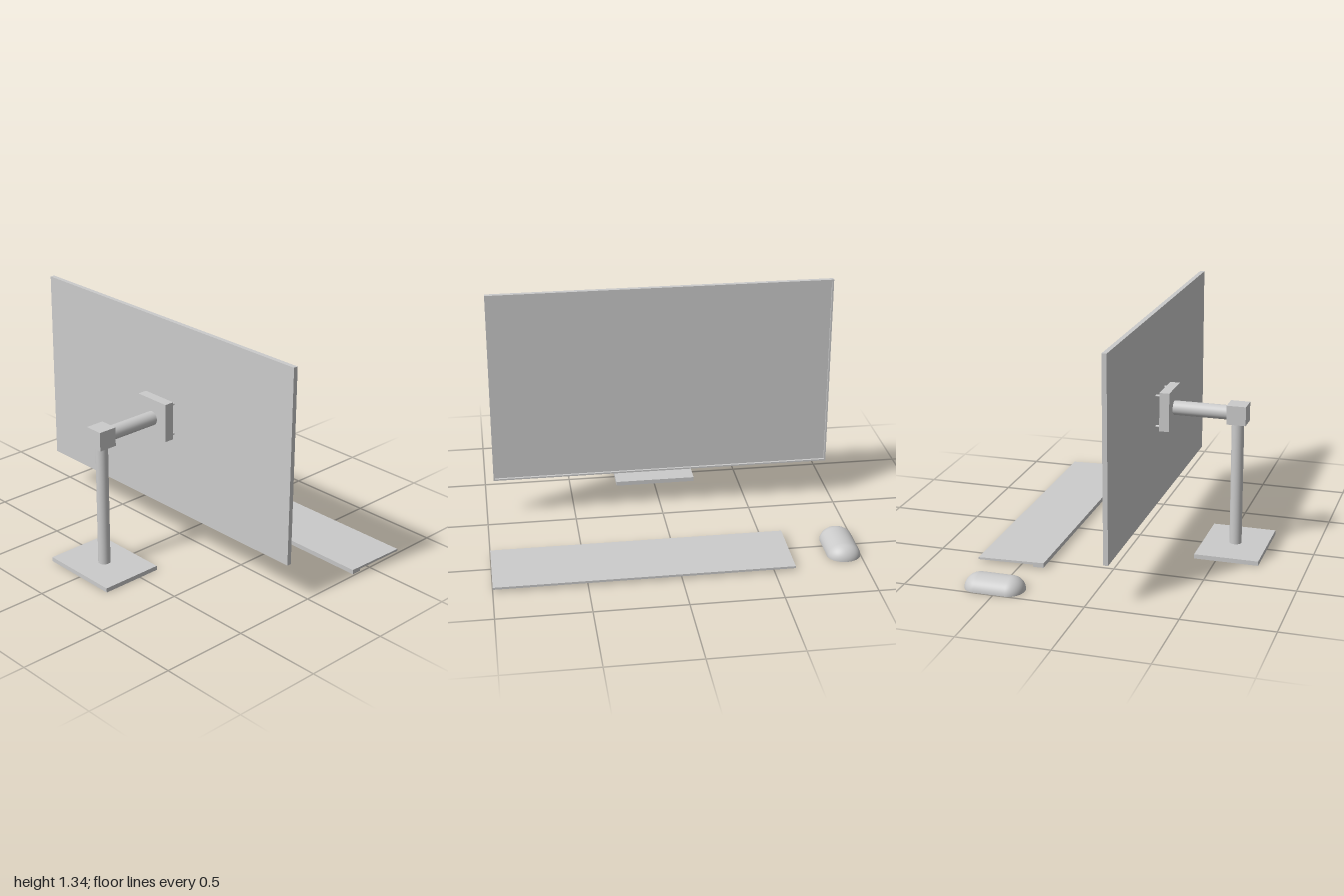
import * as THREE from 'three';

const material = new THREE.MeshStandardMaterial({ color: 0xcccccc });
const thin = new THREE.MeshStandardMaterial({ color: 0xcccccc, side: THREE.DoubleSide });
const MID_Z = -0.006; // centre plane of the display and its stand

function add(parent, name, geometry, x = 0, y = 0, z = 0, mat = material) {
  const mesh = new THREE.Mesh(geometry, mat);
  mesh.name = name;
  mesh.position.set(x, y, z);
  parent.add(mesh);
  return mesh;
}

// Box given by its limits in x and y, and its depth in z
function block(parent, name, x0, x1, y0, y1, depth) {
  return add(parent, name, new THREE.BoxGeometry(x1 - x0, y1 - y0, depth), (x0 + x1) / 2, (y0 + y1) / 2, MID_Z);
}

// Horizontal cylinder along x
function rod(parent, name, r, x0, x1, y, z, sides) {
  const geometry = new THREE.CylinderGeometry(r, r, x1 - x0, sides).rotateZ(Math.PI / 2);
  return add(parent, name, geometry, (x0 + x1) / 2, y, z);
}

function rectangle(PathType, halfW, halfH) {
  return new PathType([
    [-halfW, -halfH], [halfW, -halfH], [halfW, halfH], [-halfW, halfH],
  ].map(([x, y]) => new THREE.Vector2(x, y)));
}

function createStand() {
  const stand = new THREE.Group();
  stand.name = 'stand';
  block(stand, 'base', -0.738, -0.379, 0, 0.025, 0.465);
  add(stand, 'post', new THREE.CylinderGeometry(0.034, 0.034, 0.71, 32), -0.558, 0.38, MID_Z);
  block(stand, 'elbow', -0.612, -0.505, 0.729, 0.836, 0.107);
  rod(stand, 'arm', 0.04, -0.51, -0.195, 0.782, MID_Z, 32);
  block(stand, 'mountPlate', -0.199, -0.143, 0.674, 0.893, 0.22);
  // Four pins joining the plate to the display
  for (const dy of [-0.0875, 0.0875])
    for (const dz of [-0.0875, 0.0875])
      rod(stand, 'mountPin', 0.007, -0.145, -0.116, 0.782 + dy, MID_Z + dz, 16);
  return stand;
}

function createDisplay() {
  const display = new THREE.Group();
  display.name = 'display';
  const x0 = -0.118, x1 = -0.092, halfW = 0.961, halfH = 0.555, rim = 0.009;
  // Thin frame around a slightly recessed panel facing +x
  const outline = rectangle(THREE.Shape, halfW, halfH);
  outline.holes.push(rectangle(THREE.Path, halfW - rim, halfH - rim));
  const frame = new THREE.ExtrudeGeometry(outline, { depth: x1 - x0, bevelEnabled: false });
  add(display, 'frame', frame.rotateY(Math.PI / 2), x0, 0.783, MID_Z);
  add(display, 'screen', new THREE.BoxGeometry(0.013, 2 * (halfH - rim), 2 * (halfW - rim)), x0 + 0.0065, 0.783, MID_Z);
  return display;
}

// Gently sloping slab with a full-length foot under its raised edge
function createKeyboard() {
  const profile = new THREE.Shape([
    [0.362, 0.009], [0.42, 0.008], [0.421, 0.021], [0.737, 0.014], [0.737, 0.026], [0.36, 0.036],
  ].map(([x, y]) => new THREE.Vector2(x, y)));
  const geometry = new THREE.ExtrudeGeometry(profile, { depth: 1.613, bevelEnabled: false });
  const keyboard = new THREE.Group();
  keyboard.name = 'keyboard';
  add(keyboard, 'keyboardBody', geometry, 0, 0, -0.614);
  return keyboard;
}

// Half capsule lying along x, with a flat underside
function createMouse() {
  const mouse = new THREE.Group();
  mouse.name = 'mouse';
  const radius = 0.0915, end = 0.078, straight = 0.087, height = 0.074;
  const points = [];
  for (const side of [-1, 1])
    for (let i = 0; i <= 12; i++) {
      const a = (side < 0 ? i : 12 - i) / 12 * Math.PI / 2;
      points.push(new THREE.Vector2(radius * Math.sin(a), side * (straight + end * Math.cos(a))));
    }
  const shell = new THREE.LatheGeometry(points, 32, -Math.PI / 2, Math.PI);
  shell.rotateX(-Math.PI / 2).rotateY(Math.PI / 2).scale(1, height / radius, 1);
  add(mouse, 'mouseShell', shell, 0.523, 0, -0.908);

  const mirrored = points.slice(1, -1).reverse().map((p) => new THREE.Vector2(-p.x, p.y));
  const underside = new THREE.ShapeGeometry(new THREE.Shape([...points, ...mirrored]));
  underside.rotateX(Math.PI / 2).rotateY(Math.PI / 2);
  add(mouse, 'mouseUnderside', underside, 0.523, 0, -0.908, thin);
  return mouse;
}

export function createModel() {
  const model = new THREE.Group();
  model.name = 'desktopSet';
  model.add(createStand(), createDisplay(), createKeyboard(), createMouse());
  return model;
}
